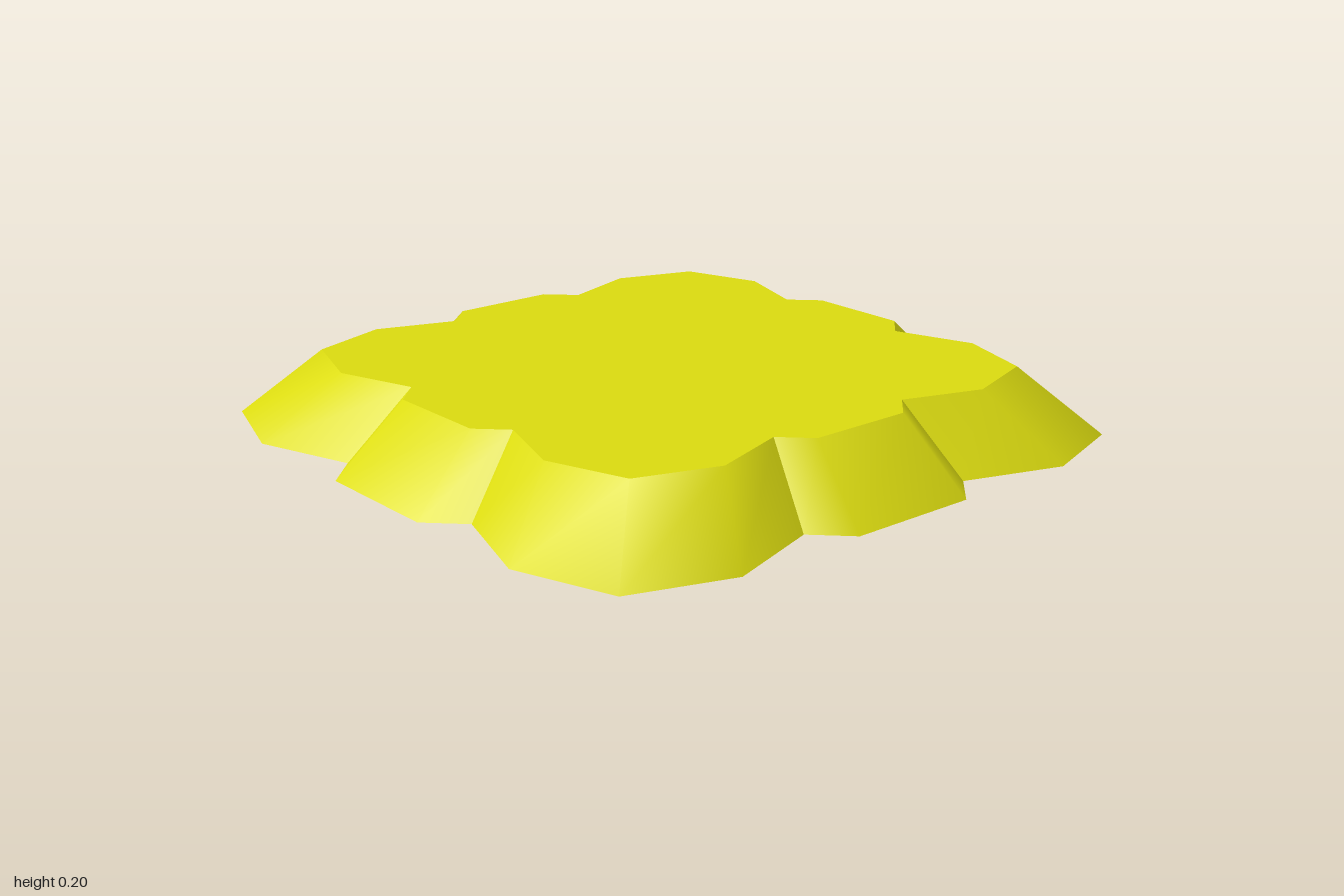
import * as THREE from 'three';

const HEIGHT = 0.2;
const TOP_SCALE = 0.8;

// Lobes of one quarter of the outline, as [x, z]: a straight side tab, then a rounded corner
const LOBES = {
  sideTab: [[-0.3, 0.9], [-0.2, 1], [0.2, 1], [0.3, 0.9]],
  cornerLobe: [[0.3, 0.9], [0.6, 1], [0.9, 0.9], [1, 0.6], [0.9, 0.3]],
};

// Sloping wall strip, smooth along its length, creased where lobes meet
function wallGeometry(points) {
  const positions = [];
  const index = [];
  points.forEach(([x, z], i) => {
    positions.push(x, 0, z, x * TOP_SCALE, HEIGHT, z * TOP_SCALE);
    if (i < points.length - 1) {
      const a = i * 2;
      index.push(a, a + 2, a + 3, a, a + 3, a + 1);
    }
  });
  const geometry = new THREE.BufferGeometry();
  geometry.setAttribute('position', new THREE.Float32BufferAttribute(positions, 3));
  geometry.setIndex(index);
  geometry.computeVertexNormals();
  return geometry;
}

export function createModel() {
  const group = new THREE.Group();
  group.name = 'scallopedSlab';
  const yellow = new THREE.MeshStandardMaterial({ color: 0xdcdc10 });
  yellow.name = 'yellow';

  const add = (name, geometry) => {
    const mesh = new THREE.Mesh(geometry, yellow);
    mesh.name = name;
    group.add(mesh);
    return mesh;
  };

  // Walls, repeated by quarter turns
  const outline = [];
  for (const [name, points] of Object.entries(LOBES)) {
    const geometry = wallGeometry(points);
    for (let k = 0; k < 4; k++) {
      add(`${name}Wall${k + 1}`, geometry).rotation.y = (k * Math.PI) / 2;
    }
  }

  // Whole outline for the flat faces
  for (let k = 0; k < 4; k++) {
    for (const points of Object.values(LOBES)) {
      for (const [x, z] of points.slice(0, -1)) {
        const p = new THREE.Vector2(x, z);
        outline.push(p.rotateAround(new THREE.Vector2(), (-k * Math.PI) / 2));
      }
    }
  }
  const face = new THREE.ShapeGeometry(new THREE.Shape(outline));

  // Top and bottom
  add('topFace', face.clone().scale(TOP_SCALE, TOP_SCALE, 1).rotateX(-Math.PI / 2).translate(0, HEIGHT, 0));
  add('bottomFace', face.clone().rotateX(Math.PI / 2));

  return group;
}
